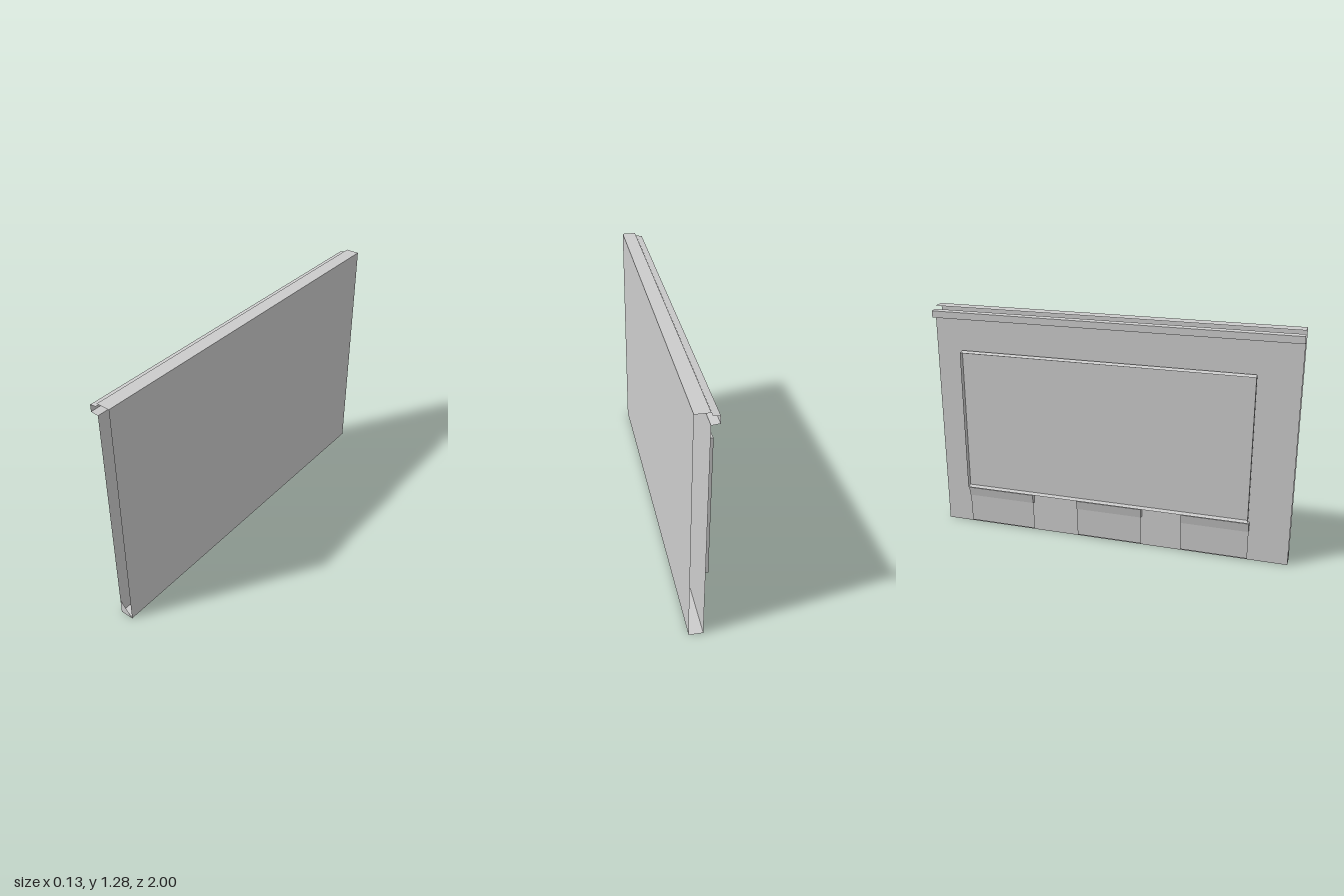
import * as THREE from 'three';

const material = new THREE.MeshStandardMaterial({
  color: 0xcccccc, side: THREE.DoubleSide, flatShading: true,
});

// Thin sheet folded along an [x, y] profile and running from z0 to z1
function sheet(name, profile, z0, z1) {
  const pos = [];
  for (let i = 0; i < profile.length - 1; i++) {
    const [ax, ay] = profile[i], [bx, by] = profile[i + 1];
    pos.push(ax, ay, z0, ax, ay, z1, bx, by, z1);
    pos.push(ax, ay, z0, bx, by, z1, bx, by, z0);
  }
  const geo = new THREE.BufferGeometry();
  geo.setAttribute('position', new THREE.Float32BufferAttribute(pos, 3));
  geo.computeVertexNormals();
  const mesh = new THREE.Mesh(geo, material);
  mesh.name = name;
  return mesh;
}

// Flat end plate filling an [x, y] outline at one z
function endPlate(name, outline, z) {
  const shape = new THREE.Shape(outline.map(([x, y]) => new THREE.Vector2(x, y)));
  const mesh = new THREE.Mesh(new THREE.ShapeGeometry(shape), material);
  mesh.position.z = z;
  mesh.name = name;
  return mesh;
}

export function createModel() {
  const model = new THREE.Group();
  model.name = 'wallPanel';

  // Hollow wall, open at both ends
  model.add(sheet('wallShell', [[-0.01, 1.223], [-0.01, 0], [0.063, 0], [0.063, 1.285], [-0.01, 1.285]], -1, 1));
  model.add(endPlate('cornerGusset', [[-0.01, 0], [0.063, 0], [-0.01, 0.085]], 1));

  // Channel rail along the top
  model.add(sheet('topRail', [[-0.01, 1.223], [-0.051, 1.227], [-0.051, 1.264], [-0.017, 1.268]], -1, 1));

  // Recessed display: back plate with a projecting rim
  const display = new THREE.Group();
  display.name = 'displayFrame';
  const [z0, z1] = [-0.84, 0.78];
  const rim = [[-0.065, 1.043], [-0.034, 1.05], [-0.034, 0.245], [-0.065, 0.241]];
  display.add(sheet('displayTray', rim, z0, z1));
  for (const z of [z0, z1]) display.add(endPlate('displaySide', rim, z));
  model.add(display);

  // Three doors, each under an awning
  const awning = [[-0.01, 0.226], [-0.044, 0.229], [-0.034, 0.177], [-0.01, 0.173]];
  for (const [a, b] of [[-0.845, -0.45], [-0.185, 0.19], [0.415, 0.785]]) {
    const bay = new THREE.Group();
    bay.name = 'doorBay';
    bay.add(sheet('door', [[-0.027, 0.176], [-0.021, 0.01]], a, b));
    bay.add(sheet('awning', awning, a, b));
    for (const z of [a, b]) bay.add(endPlate('awningEnd', awning, z));
    model.add(bay);
  }
  return model;
}
